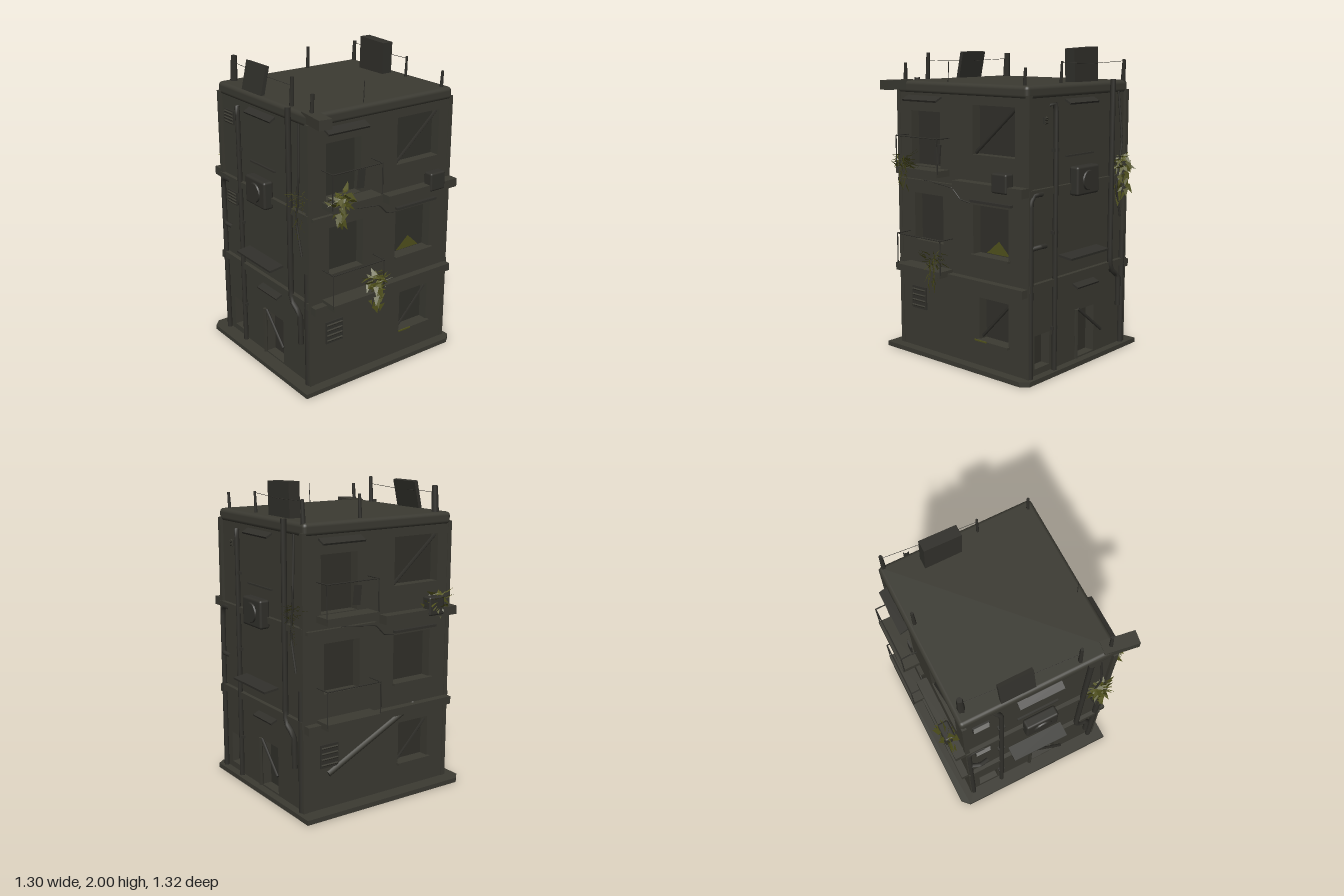
import * as THREE from 'three';
import { RoundedBoxGeometry } from 'three/addons/geometries/RoundedBoxGeometry.js';

const mat = (name, color, side = THREE.FrontSide) => {
  const m = new THREE.MeshStandardMaterial({ color, side });
  m.name = name;
  return m;
};
const concrete = mat('concrete', 0x3b3a32);
const recess = mat('window recess', 0x31302a);
const metal = mat('old metal', 0x31302b);
const foliage = mat('foliage', 0x50511c, THREE.DoubleSide);

// Small seeded generator for foliage
let seed = 7;
const rnd = () => (seed = (seed * 16807) % 2147483647) / 2147483647;
const spread = (a) => (rnd() * 2 - 1) * a;

function add(parent, name, geo, material, pos = [0, 0, 0], rot = [0, 0, 0]) {
  const m = new THREE.Mesh(geo, material);
  m.name = name;
  m.position.set(...pos);
  m.rotation.set(...rot);
  parent.add(m);
  return m;
}
const box = (parent, name, size, pos, material = concrete, rot) =>
  add(parent, name, new THREE.BoxGeometry(...size), material, pos, rot);

// Tapered bar between two points
function bar(parent, name, a, b, r, material = metal, sides = 6, endR = r) {
  const p = new THREE.Vector3(...a), q = new THREE.Vector3(...b);
  const m = add(parent, name, new THREE.CylinderGeometry(endR, r, p.distanceTo(q), sides), material);
  m.position.copy(p).lerp(q, 0.5);
  m.quaternion.setFromUnitVectors(new THREE.Vector3(0, 1, 0), q.sub(p).normalize());
}
function pipe(parent, name, points, r) {
  const curve = new THREE.CatmullRomCurve3(points.map((p) => new THREE.Vector3(...p)), false, 'catmullrom', 0.1);
  add(parent, name, new THREE.TubeGeometry(curve, 32, r, 8), metal);
}

// Wall with rectangular openings [left, bottom, right, top]
function wall(parent, half, holes) {
  const s = new THREE.Shape([[-half, 0.03], [half, 0.03], [half, 1.74], [-half, 1.74]].map((p) => new THREE.Vector2(...p)));
  for (const [l, b, r, t] of holes)
    s.holes.push(new THREE.Path([[l, b], [l, t], [r, t], [r, b]].map((p) => new THREE.Vector2(...p))));
  add(parent, 'wall', new THREE.ExtrudeGeometry(s, { depth: 0.07, bevelEnabled: false }), concrete, [0, 0, -0.07]);
}

// Plant: a full crown of pointed leaves with a few trailing strands
function plant(parent, pos, w, drop) {
  const v = [];
  const leaf = (x, y, z, dx, dy, dz) =>
    v.push(x - 0.016, y, z - 0.008, x + 0.016, y + 0.012, z + 0.012, x + dx, y + dy, z + dz);
  for (let i = 0; i < 40; i++) {
    const a = rnd() * Math.PI * 2, k = rnd();
    const x = Math.cos(a) * w * k, z = Math.sin(a) * w * 0.6 * k;
    leaf(x, spread(0.045), z, Math.cos(a) * 0.06, spread(0.045), Math.sin(a) * 0.045);
  }
  for (let s = 0; s < 3; s++) {
    const x = spread(w * 0.4), z = spread(w * 0.4), len = drop * (0.6 + rnd() * 0.4);
    for (let y = 0; y > -len; y -= 0.022) leaf(x + spread(0.012), y, z + spread(0.012), spread(0.03), -0.05, spread(0.03));
  }
  const g = new THREE.BufferGeometry();
  g.setAttribute('position', new THREE.Float32BufferAttribute(v, 3));
  g.computeVertexNormals();
  add(parent, 'plant', g, foliage, pos);
}

function balcony(parent, l, r, y, depth) {
  const w = r - l, c = (l + r) / 2, edge = depth - 0.008;
  box(parent, 'balconySlab', [w, 0.04, depth], [c, y, depth / 2]);
  for (const x of [l, r]) {
    bar(parent, 'railPost', [x, y, edge], [x, y + 0.22, edge], 0.004);
    bar(parent, 'sideRail', [x, y + 0.22, 0], [x, y + 0.22, edge], 0.004);
  }
  bar(parent, 'frontRail', [l, y + 0.22, edge], [r, y + 0.22, edge], 0.004);
}

function vent(parent, x, y, w, h) {
  box(parent, 'ventFrame', [w, h, 0.015], [x, y, 0.002], metal);
  for (let i = 0; i < 4; i++)
    box(parent, 'ventSlat', [w * 0.9, 0.008, 0.015], [x, y - h * 0.36 + i * h * 0.24, 0.01], concrete, [0.5, 0, 0]);
}

// Broad face: windows, balconies, ledges
function broadFace(parent, isFront) {
  const f = new THREE.Group();
  f.name = isFront ? 'frontFace' : 'backFace';
  f.position.z = isFront ? 0.5 : -0.5;
  f.rotation.y = isFront ? 0 : Math.PI;
  parent.add(f);
  wall(f, 0.54, [[-0.43, 1.25, -0.17, 1.6], [0.11, 1.36, 0.45, 1.66], [-0.41, 0.76, -0.15, 1.07],
    [0.11, 0.74, 0.4, 1.05], [0.16, 0.2, 0.4, 0.47]]);
  balcony(f, -0.46, -0.09, 1.225, 0.115);
  balcony(f, -0.46, -0.07, 0.59, 0.12);
  box(f, 'lowerLedge', [1.1, 0.05, 0.06], [0, 0.565, 0.02]);
  box(f, 'upperLedge', [0.56, 0.055, 0.08], [0.28, 1.17, 0.03]);
  box(f, 'thinLedge', [0.5, 0.02, 0.03], [-0.29, 1.15, 0.01]);
  // Awnings, sills and broken panes
  box(f, 'awning', [0.3, 0.012, 0.06], [-0.3, 1.68, 0.03], metal, [0.45, 0, 0]);
  box(f, 'lintel', [0.33, 0.015, 0.03], [0.27, 1.075, 0.01], metal);
  box(f, 'windowSill', [0.31, 0.015, 0.03], [0.26, 0.735, 0.01]);
  box(f, 'windowSill', [0.26, 0.015, 0.03], [0.28, 0.195, 0.01]);
  bar(f, 'loosePlank', [0.12, 1.37, -0.02], [0.44, 1.65, -0.02], 0.012, metal, 4);
  bar(f, 'loosePlank', [0.17, 0.22, -0.02], [0.39, 0.45, -0.02], 0.01, metal, 4);
  box(f, 'shutter', [0.05, 0.12, 0.01], [-0.18, 1.34, 0.015], metal, [0, 0, -0.1]);
  vent(f, -0.375, 0.37, 0.13, 0.15);
  add(f, 'wallUnit', new RoundedBoxGeometry(0.12, 0.12, 0.07, 2, 0.012), metal, [0.39, 1.215, 0.045]);
  pipe(f, 'cable', [[-0.3, 1.165, 0.02], [-0.05, 1.14, 0.025], [0.02, 1.075, 0.02], [0.1, 1.06, 0.015]], 0.004);
  if (isFront) {
    plant(f, [-0.4, 1.28, 0.11], 0.07, 0.18);
    plant(f, [-0.13, 0.675, 0.11], 0.07, 0.18);
    const moss = new THREE.Shape([[0.17, 0.745], [0.36, 0.745], [0.27, 0.83]].map((p) => new THREE.Vector2(...p)));
    add(f, 'mossPatch', new THREE.ShapeGeometry(moss), foliage, [0, 0, -0.06]);
    box(f, 'sillMoss', [0.1, 0.008, 0.008], [0.19, 0.2, 0.024], foliage);
  } else {
    plant(f, [0.42, 1.24, 0.05], 0.075, 0.08);
    bar(f, 'fallenBeam', [-0.38, 0.25, 0], [0.28, 0.58, 0], 0.02, concrete, 6);
  }
}

// Narrow face: doorway, pipes, air unit, canopies
function narrowFace(parent, isLeft) {
  const f = new THREE.Group();
  f.name = isLeft ? 'leftFace' : 'rightFace';
  f.position.x = isLeft ? 0.54 : -0.54;
  f.rotation.y = isLeft ? Math.PI / 2 : -Math.PI / 2;
  parent.add(f);
  wall(f, 0.498, [[-0.02, 0.04, 0.18, 0.35], [-0.42, 0.07, -0.28, 0.28]]);
  box(f, 'lowerLedge', [1.0, 0.045, 0.035], [0, 0.59, 0.01]);
  box(f, 'upperLedge', [1.0, 0.04, 0.03], [0, 1.16, 0.01]);
  box(f, 'canopy', [0.39, 0.014, 0.1], [0, 0.735, 0.05], metal, [0.12, 0, 0]);
  box(f, 'awning', [0.29, 0.012, 0.05], [0, 1.68, 0.02], metal, [0.5, 0, 0]);
  box(f, 'doorCanopy', [0.22, 0.012, 0.05], [0.06, 0.52, 0.02], metal, [0.4, 0, 0]);
  box(f, 'trim', [0.28, 0.01, 0.015], [0.0, 1.35, 0.005], metal);
  bar(f, 'leaningPlank', [0.0, 0.36, 0.01], [0.22, 0.18, 0.03], 0.01, metal, 4);
  bar(f, 'doorPost', [-0.02, 0.04, 0.01], [-0.02, 0.36, 0.01], 0.015, concrete, 4);
  // Air unit with round fan housing
  add(f, 'airUnit', new RoundedBoxGeometry(0.22, 0.18, 0.07, 2, 0.015), metal, [0.005, 1.195, 0.04]);
  add(f, 'fanHousing', new THREE.CylinderGeometry(0.06, 0.065, 0.012, 16), metal, [0.005, 1.195, 0.078], [Math.PI / 2, 0, 0]);
  if (isLeft) vent(f, -0.34, 1.58, 0.03, 0.04);
  else for (const y of [1.58, 1.03]) vent(f, -0.38, y, 0.11, 0.09);
  pipe(f, 'drainPipe', [[-0.255, 0.03, 0.02], [-0.255, 1.62, 0.02], [-0.265, 1.68, 0.015], [-0.29, 1.66, -0.02]], 0.016);
  pipe(f, 'bentPipe', [[0.315, 1.8, 0.025], [0.315, 0.62, 0.025], [0.34, 0.55, 0.025], [0.41, 0.5, 0.025], [0.415, 0.3, 0.025]], 0.018);
  pipe(f, 'cornerPipe', [[-0.48, 0.03, 0.015], [-0.48, 1.1, 0.015], [-0.45, 1.15, 0.015], [-0.38, 1.15, 0.015]], 0.017);
  pipe(f, 'pipeBranch', [[-0.48, 0.83, 0.015], [-0.42, 0.84, 0.04], [-0.36, 0.835, 0.03]], 0.015);
  pipe(f, 'straightPipe', [[0.47, 0.03, 0.01], [0.47, 0.42, 0.01], [0.47, 0.8, 0.01]], 0.02);
  for (const y of [0.3, 0.9, 1.4]) box(f, 'pipeClamp', [0.045, 0.02, 0.025], [-0.255, y, 0.015], metal);
  pipe(f, 'looseCable', [[0.4, 1.72, 0.01], [0.42, 1.4, 0.03], [0.38, 1.1, 0.02], [0.43, 0.9, 0.02]], 0.007);
  plant(f, [0.42, 1.26, 0.035], 0.065, 0.26);
}

export function createModel() {
  const model = new THREE.Group();
  model.name = 'derelictBuilding';

  // Ground slab with two cut corners
  const outline = [[-0.58, 0.62], [0.59, 0.62], [0.59, -0.5], [0.54, -0.54], [-0.63, -0.54], [-0.63, 0.57]];
  const slab = new THREE.ExtrudeGeometry(new THREE.Shape(outline.map((p) => new THREE.Vector2(...p))), { depth: 0.03, bevelEnabled: false });
  add(model, 'groundSlab', slab, concrete, [0, 0, 0], [-Math.PI / 2, 0, 0]);

  const tower = new THREE.Group();
  tower.name = 'tower';
  tower.position.z = -0.025;
  model.add(tower);
  box(tower, 'innerCore', [0.95, 1.7, 0.87], [0, 0.88, 0], recess);
  for (const first of [true, false]) {
    broadFace(tower, first);
    narrowFace(tower, first);
  }
  add(tower, 'roofSlab', new RoundedBoxGeometry(1.1, 0.08, 1.015, 3, 0.025), concrete, [0, 1.748, 0]);
  box(tower, 'roofBeam', [0.085, 0.06, 0.22], [-0.515, 1.762, 0.53], concrete, [0, -0.15, 0]);

  // Rooftop panels
  box(model, 'roofPanel', [0.075, 0.215, 0.24], [0.45, 1.89, -0.16], metal, [0.04, 0, 0]);
  box(model, 'roofPanel', [0.025, 0.19, 0.22], [-0.5, 1.87, -0.155], metal, [0, 0, -0.22]);

  // Rooftop posts [x, z, top, radius] and wires
  const posts = [[-0.51, 0.45, 1.9, 0.014], [-0.46, -0.48, 1.95, 0.026], [0.125, -0.49, 1.93, 0.013], [0.53, -0.5, 1.92, 0.016],
    [0.49, 0.1, 1.92, 0.01], [0.49, 0.44, 1.89, 0.012], [-0.13, 0.44, 1.92, 0.003], [-0.51, 0.25, 1.96, 0.016]];
  for (const [x, z, top, r] of posts) bar(model, 'roofPost', [x, 1.76, z], [x + 0.008, top, z], r, metal, 5, r * 0.75);
  const wire = (a, b) => pipe(model, 'wire', [[a[0], 1.91, a[1]], [(a[0] + b[0]) / 2, 1.9, (a[1] + b[1]) / 2], [b[0], 1.91, b[1]]], 0.0015);
  wire(posts[7], posts[1]);
  wire(posts[4], posts[3]);

  // Corner strips that run the full height
  for (const x of [-0.545, 0.545]) for (const z of [-0.513, 0.463])
    box(model, 'cornerStrip', [0.03, 1.7, 0.03], [x, 0.88, z], concrete);
  return model;
}
